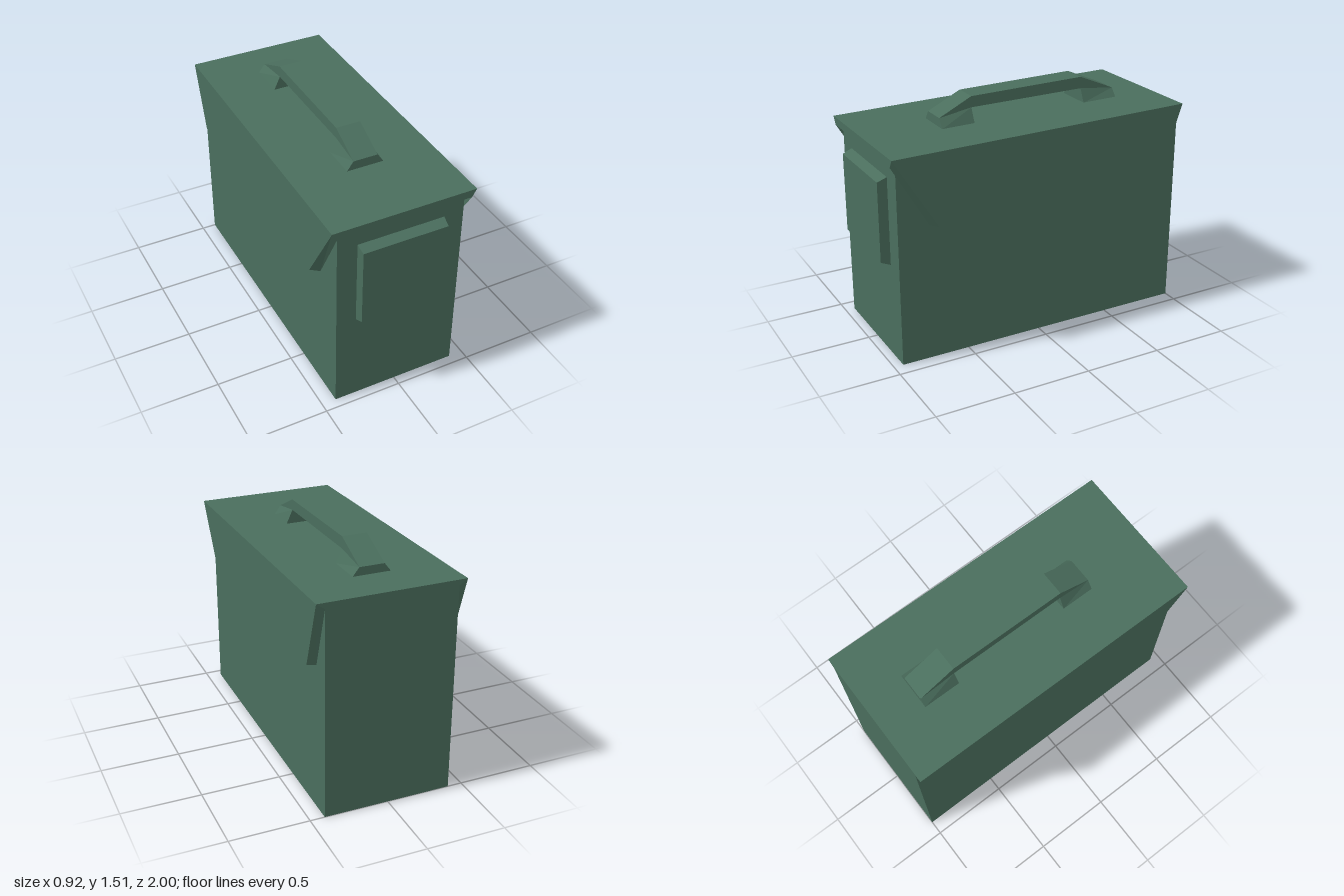
import * as THREE from 'three';

// Convex block joining two four-cornered rings; every face is turned outward.
function block(name, a, b, material, caps = true) {
  const p = [...a, ...b].map((v) => new THREE.Vector3(...v));
  const mid = p.reduce((s, v) => s.add(v), new THREE.Vector3()).divideScalar(8);
  const faces = [];
  for (let i = 0; i < 4; i++) {
    const j = (i + 1) % 4;
    faces.push([i, j, j + 4, i + 4]);
  }
  if (caps) faces.push([0, 1, 2, 3], [4, 5, 6, 7]);
  const pos = [];
  for (const f of faces) {
    const q = f.map((i) => p[i]);
    const n = q[2].clone().sub(q[0]).cross(q[3].clone().sub(q[1]));
    if (n.dot(q[0].clone().sub(mid)) < 0) q.reverse();
    for (const i of [0, 1, 2, 0, 2, 3]) pos.push(q[i].x, q[i].y, q[i].z);
  }
  const geo = new THREE.BufferGeometry();
  geo.setAttribute('position', new THREE.Float32BufferAttribute(pos, 3));
  geo.computeVertexNormals();
  const mesh = new THREE.Mesh(geo, material);
  mesh.name = name;
  return mesh;
}

// Symmetric ring: half-width, y and z of its front and back edges.
const ring = (wf, yf, zf, wb = wf, yb = yf, zb = zf) => [
  [-wf, yf, zf], [wf, yf, zf], [wb, yb, zb], [-wb, yb, zb],
];

export function createModel() {
  const group = new THREE.Group();
  group.name = 'ammunitionBox';
  const green = new THREE.MeshStandardMaterial({ color: 0x4a6e5d, side: THREE.DoubleSide });
  green.name = 'olive green';

  // Walls, open underneath
  group.add(block('body',
    ring(0.408, 0, 0.94, 0.408, 0, -1),
    ring(0.408, 1.28, 0.94, 0.408, 1.33, -1), green, false));

  // Slightly sloping lid with a bevelled lip
  group.add(block('lid',
    ring(0.43, 1.28, 0.98, 0.408, 1.33, -1),
    ring(0.46, 1.33, 0.98, 0.46, 1.365, -1), green));

  // Tapered flaps hanging over both sides
  for (const s of [-1, 1]) {
    group.add(block(s > 0 ? 'leftFlap' : 'rightFlap',
      [[0.46 * s, 1.33, 0.98], [0.46 * s, 1.365, -1], [0.46 * s, 0.94, -0.86], [0.46 * s, 0.875, 0.7]],
      [[0.43 * s, 1.28, 0.98], [0.408 * s, 1.33, -1], [0.408 * s, 0.94, -0.88], [0.408 * s, 0.875, 0.74]],
      green));
  }

  // Latch plate on the front
  const plate = (w, y0, y1, z) => [[-w, y0, z], [w, y0, z], [w, y1, z], [-w, y1, z]];
  group.add(block('latch', plate(0.28, 0.612, 1.167, 0.94), plate(0.274, 0.637, 1.142, 1), green));

  // Carrying handle: flared feet, sloping ends and a grip
  const handle = new THREE.Group();
  handle.name = 'handle';
  const w = 0.079;
  handle.add(
    block('frontFoot', ring(0.12, 1.337, 0.51, 0.12, 1.341, 0.295), ring(w, 1.395, 0.51, w, 1.43, 0.295), green),
    block('backFoot', ring(0.12, 1.355, -0.48, 0.12, 1.359, -0.72), ring(w, 1.44, -0.48, w, 1.412, -0.72), green),
    block('frontSlope', ring(w, 1.395, 0.51, w, 1.43, 0.295), ring(w, 1.395, 0.51, w, 1.5, 0.295), green),
    block('backSlope', ring(w, 1.44, -0.48, w, 1.412, -0.72), ring(w, 1.515, -0.48, w, 1.412, -0.72), green),
    block('grip', ring(w, 1.43, 0.295, w, 1.44, -0.48), ring(w, 1.5, 0.295, w, 1.515, -0.48), green),
  );
  group.add(handle);
  return group;
}
